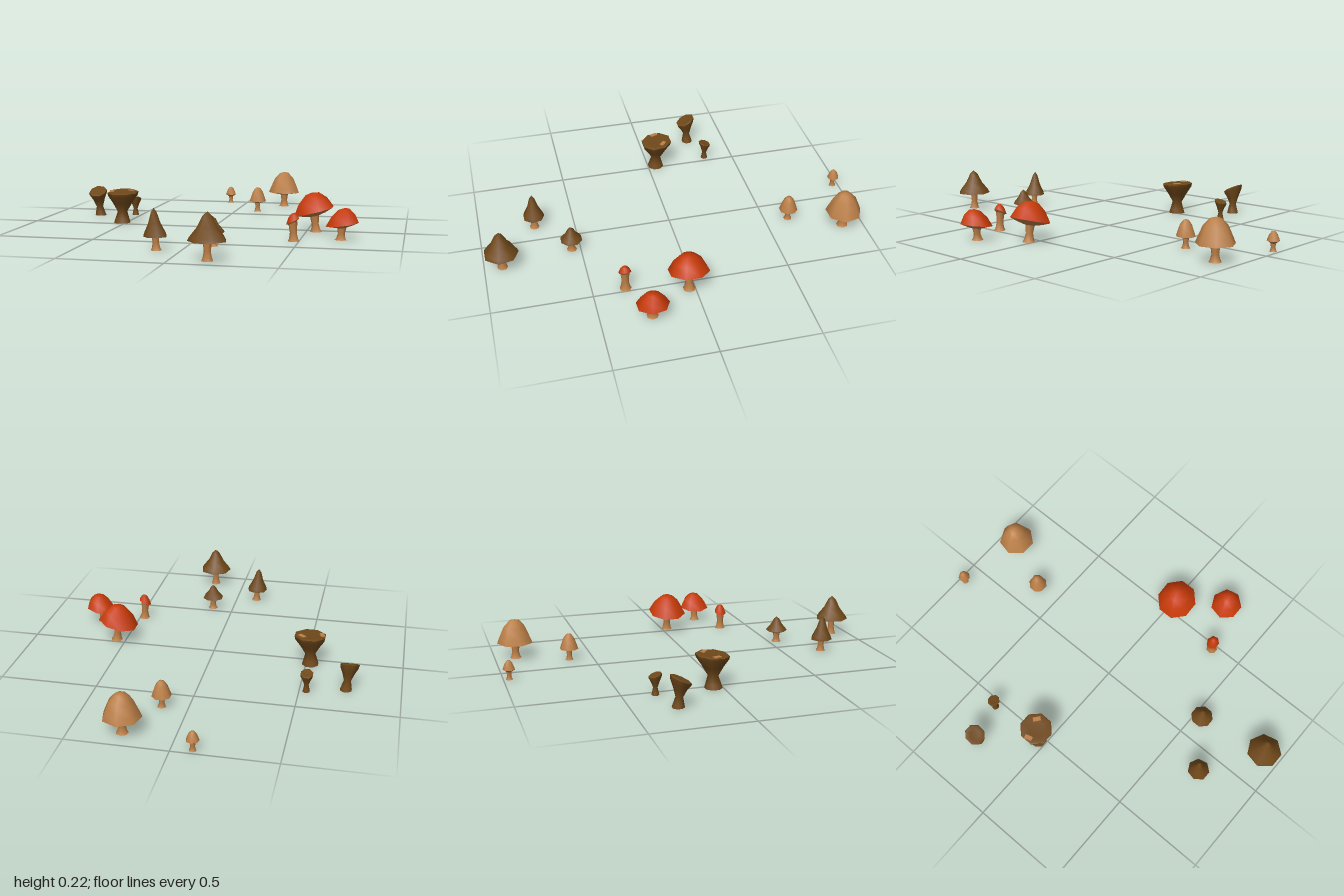
import * as THREE from 'three';
import { mergeVertices } from 'three/addons/utils/BufferGeometryUtils.js';

const paint = (name, color) => new THREE.MeshStandardMaterial({ name, color, side: THREE.DoubleSide });

// Cap outlines, rim to tip: [share of radius, share of cap height]
const CAPS = {
  dome: [[1, 0], [0.9, 0.2], [0.62, 0.68], [0.3, 0.94], [0, 1]],
  umbrella: [[1, 0], [0.72, 0.55], [0.35, 0.92], [0, 1]],
  cone: [[1, 0], [0.9, 0.13], [0.52, 0.46], [0.25, 0.84], [0, 1]],
};

// x, z of the foot; r, rim, top of the cap; under = height where gills meet stem;
// dx = how far the tip leans; tilt = rise of the cap towards +x; foot = foot radius
const MUSHROOMS = [
  { cap: 'dome', color: 'tan', x: 0.25, z: -0.89, r: 0.095, rim: 0.085, top: 0.21, under: 0.073, foot: 0.031, sides: 7 },
  { cap: 'dome', color: 'tan', x: 0.13, z: -0.625, r: 0.049, rim: 0.06, top: 0.143, under: 0.052, foot: 0.022, sides: 8 },
  { cap: 'dome', color: 'tan', x: -0.1, z: -0.97, r: 0.032, rim: 0.052, top: 0.1, under: 0.04, foot: 0.019, sides: 7 },
  { cap: 'umbrella', color: 'red', x: 0.55, z: 0.03, r: 0.105, rim: 0.107, top: 0.203, under: 0.082, foot: 0.032, dx: -0.025, tilt: 0.25, sides: 8 },
  { cap: 'umbrella', color: 'red', x: 0.695, z: 0.248, r: 0.083, rim: 0.078, top: 0.158, under: 0.06, foot: 0.03, dx: 0.015, tilt: 0.15, sides: 7 },
  { cap: 'dome', color: 'red', x: 0.475, z: 0.335, r: 0.033, rim: 0.098, top: 0.138, under: 0.085, foot: 0.03, dx: -0.008, tilt: 0.5, sides: 7 },
  { cap: 'cone', color: 'brown', x: 0.173, z: 0.908, r: 0.09, rim: 0.09, top: 0.22, under: 0.085, foot: 0.028, sides: 7 },
  { cap: 'cone', color: 'brown', x: -0.115, z: 0.709, r: 0.057, rim: 0.065, top: 0.198, under: 0.072, foot: 0.026, dx: -0.012, sides: 7 },
  { cap: 'cone', color: 'brown', x: 0.116, z: 0.545, r: 0.058, rim: 0.066, top: 0.143, under: 0.05, foot: 0.027, sides: 8 },
];

// slope = rise of the mouth towards +z
const FUNNELS = [
  { x: -0.522, z: -0.045, r: 0.085, top: 0.172, foot: 0.045, slope: -0.08, dx: 0.005, dz: -0.005 },
  { x: -0.727, z: -0.285, r: 0.051, top: 0.142, foot: 0.031, slope: -0.48, dx: -0.013, dz: 0.01 },
  { x: -0.535, z: -0.34, r: 0.033, top: 0.102, foot: 0.019, slope: 0.3 },
];

// Turned shape that leans by (dx, dz) and slopes along x or z towards its top
function turned(points, sides, { top, dx = 0, dz = 0, tilt = 0, slope = 0 }) {
  let geo = new THREE.LatheGeometry(points.map(([r, y]) => new THREE.Vector2(r, y)), sides, Math.PI / sides);
  const pos = geo.attributes.position;
  for (let i = 0; i < pos.count; i++) {
    const x = pos.getX(i), y = pos.getY(i), z = pos.getZ(i), t = y / top;
    const rise = tilt * x * Math.min(1, 2 * t) + slope * z * t * t;
    pos.setXYZ(i, x + dx * t, y + rise, z + dz * t);
  }
  geo.deleteAttribute('uv');
  geo.deleteAttribute('normal');
  geo = mergeVertices(geo, 1e-5);
  geo.computeVertexNormals();
  return geo;
}

export function createModel() {
  const group = new THREE.Group();
  const mats = {
    tan: paint('tan', 0xbb7f47),
    brown: paint('brown', 0x6f481a),
    red: paint('red', 0xc63a08),
  };

  const add = (parent, name, geo, mat) => {
    const mesh = new THREE.Mesh(geo, mat);
    mesh.name = name;
    parent.add(mesh);
    return mesh;
  };
  const clump = (name, s) => {
    const g = new THREE.Group();
    g.name = name;
    g.position.set(s.x, 0, s.z);
    group.add(g);
    return g;
  };

  for (const m of MUSHROOMS) {
    const g = clump(`${m.color}Mushroom`, m);
    const { foot: f, under: u, r } = m;
    const neck = f * 0.8;
    // Waisted stem with a flared foot
    const upright = { top: m.top, dx: m.dx };
    add(g, 'stem', turned([[f, 0], [f * 0.78, u * 0.14], [f * 0.58, u * 0.5], [neck, u + 0.012]], 7, upright), mats.tan);
    add(g, 'stemBase', turned([[0, 0], [f, 0]], 7, upright), mats.tan);
    // Underside of the cap
    add(g, 'gills', turned([[neck * 0.9, u], [r * 0.6, u + (m.rim - u) * 0.4], [r, m.rim]], m.sides, m), mats.tan);
    // Cap
    const outline = CAPS[m.cap].map(([a, b]) => [a * r, m.rim + b * (m.top - m.rim)]);
    add(g, 'cap', turned(outline, m.sides, m), mats[m.color]);
  }

  FUNNELS.forEach((s, i) => {
    const g = clump('funnelMushroom', s);
    const { r, top: t, foot: f } = s;
    // Flared foot, narrow waist and wide mouth
    add(g, 'funnelBody', turned([[f, 0], [f * 0.85, t * 0.13], [f * 0.58, t * 0.36], [r * 0.62, t * 0.63],
      [r * 0.95, t * 0.87], [r, t * 0.97]], 8, s), mats.brown);
    add(g, 'funnelBase', turned([[0, 0], [f, 0]], 8, s), mats.brown);
    // Shallow mouth
    add(g, 'funnelMouth', turned([[r, t * 0.97], [r * 0.9, t], [r * 0.5, t * 0.985], [0, t * 0.97]], 8, s), mats.brown);
    // Pale patches on the largest mouth
    if (i === 0) {
      for (const [x, z, turn] of [[-0.056, -0.002, 0.3], [0.045, -0.035, 0.9]]) {
        const patch = add(g, 'palePatch', new THREE.BoxGeometry(0.022, 0.004, 0.04), mats.tan);
        patch.position.set(x, t + s.slope * z, z);
        patch.rotation.y = turn;
      }
    }
  });
  return group;
}
